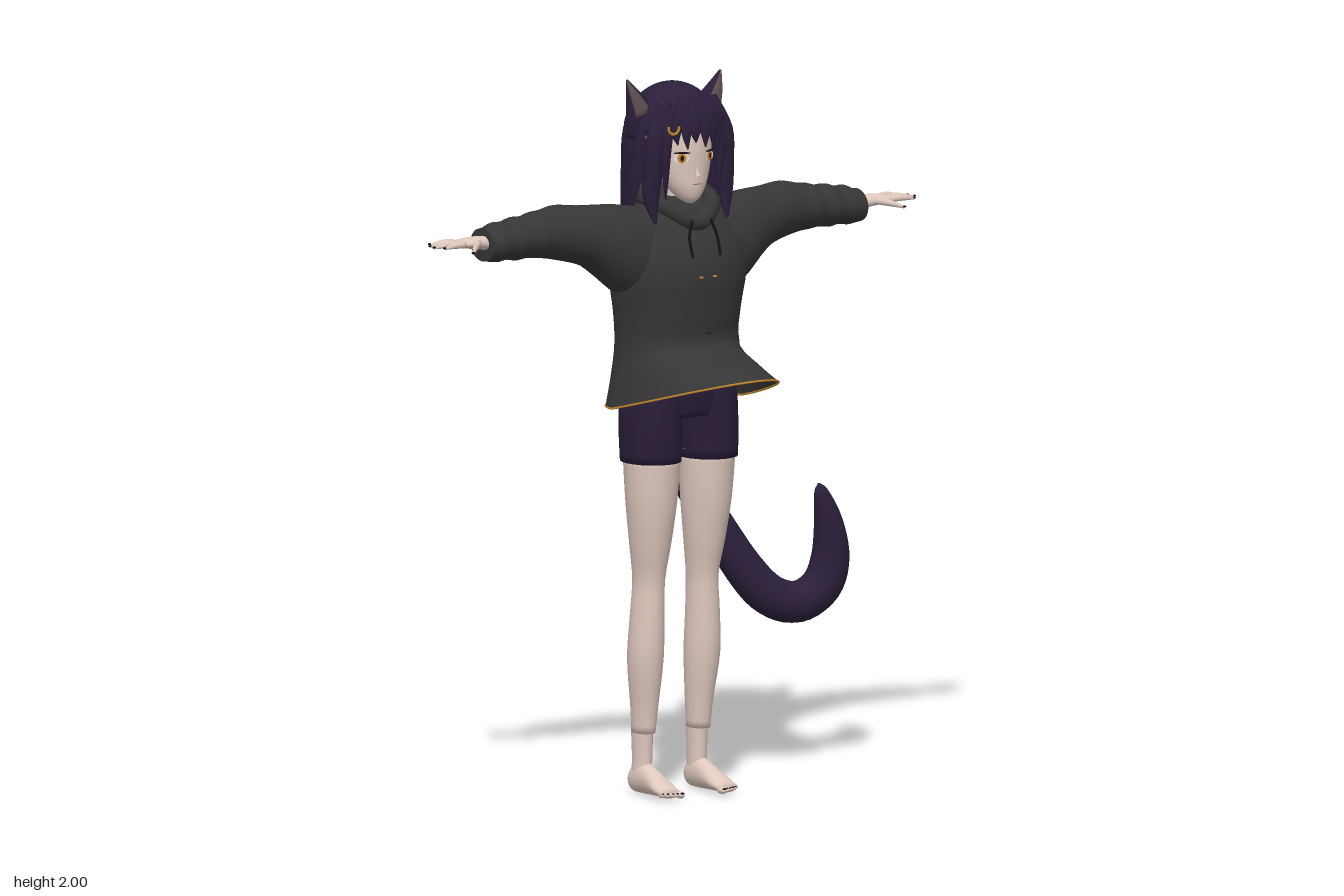
import * as THREE from 'three';

const V = (x, y, z) => new THREE.Vector3(x, y, z);
const X = V(1, 0, 0), Y = V(0, 1, 0), Z = V(0, 0, 1);
const mat = (name, color, side = THREE.FrontSide) => {
  const m = new THREE.MeshStandardMaterial({ color, side });
  m.name = name;
  return m;
};

// Smooth samples through rows of five numbers
function smooth(rows, sub) {
  const a = new THREE.CatmullRomCurve3(rows.map(r => V(r[0], r[1], r[2])), false, 'catmullrom');
  const b = new THREE.CatmullRomCurve3(rows.map(r => V(r[3], r[4], 0)), false, 'catmullrom');
  const n = (rows.length - 1) * sub;
  return Array.from({ length: n + 1 }, (_, i) => [...a.getPoint(i / n).toArray(), ...b.getPoint(i / n).toArray()]);
}

// Surface through cross-sections, with outward faces
function skin(rows, closed = true, capStart = true) {
  const n = rows[0].length, pos = [], idx = [];
  rows.forEach(r => r.forEach(p => pos.push(p.x, p.y, p.z)));
  for (let i = 0; i < rows.length - 1; i++)
    for (let j = 0; j < (closed ? n : n - 1); j++) {
      const k = (j + 1) % n, a = i * n + j, b = i * n + k, c = a + n, d = b + n;
      idx.push(a, b, d, a, d, c);
    }
  const cap = (r, turned) => {
    const row = rows[r], c = row.reduce((s, p) => s.add(p), V(0, 0, 0)).divideScalar(n), m = pos.length / 3;
    pos.push(c.x, c.y, c.z);
    for (let j = 0; j < n; j++) {
      const a = r * n + j, b = r * n + (j + 1) % n;
      idx.push(m, turned ? b : a, turned ? a : b);
    }
  };
  if (closed && capStart) cap(0, true);
  if (closed) cap(rows.length - 1, false);
  const P = i => V(pos[3 * i], pos[3 * i + 1], pos[3 * i + 2]);
  const mid = rows.flat().reduce((s, p) => s.add(p), V(0, 0, 0)).divideScalar(n * rows.length);
  let vol = 0;
  for (let i = 0; i < idx.length; i += 3)
    vol += P(idx[i]).sub(mid).dot(P(idx[i + 1]).sub(mid).cross(P(idx[i + 2]).sub(mid)));
  if (vol < 0) idx.reverse();
  const g = new THREE.BufferGeometry();
  g.setAttribute('position', new THREE.Float32BufferAttribute(pos, 3));
  g.setIndex(idx);
  g.computeVertexNormals();
  return g;
}

// Elliptical limb; each station is x, y, z, radius across, radius along ref
function sweep(stations, { dir = null, ref = Z, n = 20, sub = 4 } = {}) {
  const s = smooth(stations, sub);
  return skin(s.map((r, i) => {
    const a = s[Math.max(i - 1, 0)], b = s[Math.min(i + 1, s.length - 1)];
    const T = dir || V(b[0] - a[0], b[1] - a[1], b[2] - a[2]).normalize();
    const u = T.clone().cross(ref).normalize(), v = u.clone().cross(T);
    return Array.from({ length: n }, (_, j) => {
      const t = j / n * Math.PI * 2;
      return V(r[0], r[1], r[2]).addScaledVector(u, Math.cos(t) * Math.max(r[3], 0.001))
        .addScaledVector(v, Math.sin(t) * Math.max(r[4], 0.001));
    });
  }));
}

export function createModel() {
  const root = new THREE.Group();
  const skinM = mat('skin', 0xdfc8be), hairM = mat('hair', 0x2b1f3b, THREE.DoubleSide);
  const cloth = mat('hoodieGrey', 0x363636, THREE.DoubleSide), shortsM = mat('shortsPurple', 0x291d38);
  const gold = mat('gold', 0xc8892c), dark = mat('dark', 0x151217), white = mat('eyeWhite', 0xf1ebe8);
  const earM = mat('innerEar', 0x5c4d50), lip = mat('lip', 0xa9756d);
  const add = (name, geo, m) => {
    const mesh = new THREE.Mesh(geo, m);
    mesh.name = name;
    root.add(mesh);
    return mesh;
  };
  const flip = (s, rows) => rows.map(([x, ...r]) => [s * x, ...r]);

  // Hoodie body: y, half width, front lift, front z, back z
  const N = 48, zc = -0.05;
  const torso = smooth([
    [1.088, 0.212, 0.117, 0.375, -0.187], [1.17, 0.194, 0.066, 0.25, -0.185], [1.26, 0.183, 0, 0.108, -0.178],
    [1.35, 0.19, 0, 0.105, -0.17], [1.45, 0.207, 0, 0.115, -0.162], [1.53, 0.2, 0, 0.1, -0.155],
    [1.6, 0.17, 0, 0.06, -0.145], [1.645, 0.12, 0, 0.035, -0.13], [1.67, 0.06, 0, 0.0, -0.1]], 4)
    .map(([y, rx, lift, zf, zb]) => Array.from({ length: N }, (_, j) => {
      const t = j / N * Math.PI * 2, c = Math.cos(t), f = Math.max(c, 0);
      const z = c > 0 ? zc + (zf - zc) * Math.pow(c, lift > 0.01 ? 1.2 : 1) : zc + (zc - zb) * c;
      return V(rx * Math.sin(t), y + lift * Math.pow(f, 1.3), z);
    }));
  add('hoodieBody', skin(torso, true, false), cloth);
  add('hemTrim', new THREE.TubeGeometry(new THREE.CatmullRomCurve3(torso[0], true), 96, 0.003, 5, true), gold);

  // Hood collar and the hood lying behind it
  const half = [[0.07, 1.645, 0.025], [0.092, 1.665, -0.05], [0.07, 1.665, -0.115]];
  const ring = [[0, 1.605, 0.062], ...half, [0, 1.66, -0.135], ...flip(-1, half).reverse()];
  add('hoodCollar', new THREE.TubeGeometry(new THREE.CatmullRomCurve3(ring.map(p => V(...p)), true), 48, 0.025, 10, true), cloth);
  add('hoodBack', new THREE.SphereGeometry(1, 24, 14).scale(0.115, 0.085, 0.05).translate(0, 1.615, -0.14), cloth);
  add('pocketSeam', new THREE.BoxGeometry(0.012, 0.003, 0.006).translate(0.01, 1.3, 0.104), dark);

  // Shorts
  add('hips', sweep([[0, 1.06, -0.033, 0.15, 0.085], [0, 1.13, -0.035, 0.17, 0.096], [0, 1.25, -0.035, 0.16, 0.09]], { dir: Y, n: 28 }), shortsM);

  for (const s of [1, -1]) {
    const side = s > 0 ? 'left' : 'right';
    // Sleeve with soft folds
    add(side + 'Sleeve', sweep(flip(s, [
      [0.1, 1.49, -0.045, 0.15, 0.1], [0.2, 1.535, -0.05, 0.123, 0.098], [0.25, 1.558, -0.06, 0.102, 0.093],
      [0.3, 1.577, -0.07, 0.084, 0.088], [0.37, 1.59, -0.08, 0.077, 0.081], [0.42, 1.59, -0.082, 0.067, 0.073],
      [0.45, 1.59, -0.082, 0.064, 0.075], [0.48, 1.588, -0.08, 0.058, 0.066], [0.515, 1.586, -0.08, 0.06, 0.068],
      [0.545, 1.584, -0.08, 0.053, 0.062], [0.575, 1.582, -0.08, 0.055, 0.064], [0.6, 1.578, -0.08, 0.048, 0.06],
      [0.617, 1.578, -0.08, 0.046, 0.058]]), { dir: X, n: 24 }), cloth);
    add(side + 'Drawstring', new THREE.TubeGeometry(new THREE.CatmullRomCurve3(
      [V(s * 0.03, 1.615, 0.08), V(s * 0.045, 1.57, 0.09), V(s * 0.045, 1.515, 0.108)]), 10, 0.004, 6), dark);
    add(side + 'Eyelet', new THREE.BoxGeometry(0.01, 0.005, 0.006).translate(s * 0.022, 1.46, 0.114), gold);

    // Hand and fingers
    add(side + 'Palm', sweep(flip(s, [[0.59, 1.58, -0.075, 0.022, 0.026], [0.64, 1.588, -0.07, 0.018, 0.03],
      [0.68, 1.59, -0.068, 0.014, 0.036], [0.712, 1.59, -0.068, 0.009, 0.034]]), { dir: X }), skinM);
    [[0.7, -0.098, 0.768, -0.112], [0.705, -0.078, 0.785, -0.084], [0.705, -0.058, 0.79, -0.056], [0.7, -0.04, 0.772, -0.03],
      [0.65, -0.048, 0.71, 0.018]].forEach(([x0, z0, x1, z1], i) => {
      const drop = i === 4 ? 0.012 : 0;
      add(side + (i === 4 ? 'Thumb' : 'Finger'), sweep(flip(s, [[x0, 1.591, z0, 0.009, 0.01],
        [(x0 + x1) / 2, 1.592 - drop / 2, (z0 + z1) / 2, 0.008, 0.009], [x1, 1.588 - drop, z1, 0.003, 0.004]]), { ref: i === 4 ? Y : Z, n: 8 }), skinM);
      add(side + 'Nail', new THREE.SphereGeometry(0.005, 8, 6).scale(1.2, 0.6, 0.9).translate(s * x1, 1.59 - drop, z1), dark);
    });

    // Shorts leg, bare leg, ankle
    add(side + 'ShortsLeg', sweep(flip(s, [[0.093, 0.935, -0.032, 0.082, 0.092], [0.093, 1.03, -0.035, 0.083, 0.097],
      [0.088, 1.12, -0.037, 0.084, 0.098], [0.08, 1.18, -0.037, 0.075, 0.09]]), { dir: Y }), shortsM);
    add(side + 'Leg', sweep(flip(s, [[0.09, 0.17, -0.073, 0.03, 0.04], [0.09, 0.25, -0.069, 0.036, 0.046],
      [0.093, 0.38, -0.059, 0.048, 0.056], [0.091, 0.5, -0.053, 0.045, 0.054], [0.088, 0.6, -0.05, 0.042, 0.053],
      [0.089, 0.7, -0.041, 0.055, 0.064], [0.09, 0.82, -0.034, 0.069, 0.077], [0.09, 0.96, -0.031, 0.079, 0.085]]), { dir: Y }), skinM);
    add(side + 'Ankle', sweep(flip(s, [[0.092, 0.04, -0.08, 0.026, 0.036], [0.09, 0.1, -0.08, 0.025, 0.035],
      [0.09, 0.205, -0.08, 0.028, 0.04]]), { dir: Y }), skinM);

    // Foot and toes
    add(side + 'Foot', sweep(flip(s, [[0.092, 0.034, -0.125, 0.012, 0.016], [0.092, 0.038, -0.11, 0.025, 0.036],
      [0.091, 0.045, -0.07, 0.028, 0.045], [0.091, 0.038, -0.02, 0.03, 0.036], [0.093, 0.026, 0.03, 0.034, 0.022],
      [0.094, 0.018, 0.07, 0.033, 0.013]]), { dir: Z, ref: Y }), skinM);
    for (let i = 0; i < 5; i++) {
      const x = s * (0.069 + i * 0.0125), z = 0.078 - i * i * 0.0012, r = i ? 0.007 : 0.01;
      add(side + 'Toe', new THREE.SphereGeometry(r, 10, 8).scale(1, 1, 2).translate(x, 0.014, z), skinM);
      add(side + 'ToeNail', new THREE.SphereGeometry(r * 0.6, 8, 6).scale(1, 0.5, 1).translate(x, 0.019, z + r * 1.3), dark);
    }

    // Ear with inner face
    const ear = [[0.095, 1.85, -0.065, 0.052, 0.034], [0.112, 1.905, -0.06, 0.042, 0.031],
      [0.132, 1.95, -0.058, 0.025, 0.02], [0.153, 2.0, -0.06, 0.002, 0.002]];
    add(side + 'Ear', sweep(flip(s, ear), { n: 16 }), hairM);
    add(side + 'InnerEar', sweep(flip(s, ear.slice(1).map(([x, y, z, a, b]) => [x + 0.003, y, z + b * 0.8, a * 0.62, b * 0.3])), { n: 12 }), earM);

    // Long locks framing the face
    add(side + 'SideLock', sweep(flip(s, [[0.075, 1.94, 0.01, 0.02, 0.02], [0.108, 1.85, 0.022, 0.03, 0.024],
      [0.116, 1.76, 0.018, 0.028, 0.024], [0.121, 1.68, 0.012, 0.024, 0.022], [0.118, 1.605, 0.03, 0.004, 0.004]]), { n: 12 }), hairM);
    add(side + 'ThinLock', sweep(flip(s, [[0.07, 1.92, 0.04, 0.015, 0.01], [0.088, 1.83, 0.044, 0.015, 0.01],
      [0.088, 1.74, 0.036, 0.01, 0.008], [0.084, 1.67, 0.03, 0.002, 0.002]]), { n: 10 }), hairM);

    // Eyes: thin plates lying on the face
    const plate = (name, w, h, y, off, m) => {
      const p = add(side + name, new THREE.CircleGeometry(1, 20).scale(w, h, 1), m), x = 0.046, k = x / 0.086;
      p.position.set(s * x, y, -0.026 + 0.087 * Math.sqrt(1 - k * k) + off);
      p.rotation.y = s * Math.asin(k) * 0.9;
    };
    plate('EyeWhite', 0.022, 0.014, 1.786, 0.004, white);
    plate('Iris', 0.013, 0.014, 1.786, 0.0055, gold);
    plate('Pupil', 0.005, 0.008, 1.786, 0.007, dark);
    plate('Lash', 0.024, 0.003, 1.801, 0.007, dark);
  }

  // Neck, head, nose and mouth
  add('neck', new THREE.CylinderGeometry(0.034, 0.042, 0.15, 20).translate(0, 1.645, -0.035), skinM);
  add('head', sweep([[0, 1.655, 0.022, 0.01, 0.012], [0, 1.67, 0.014, 0.032, 0.036], [0, 1.7, 0, 0.055, 0.058],
    [0, 1.74, -0.015, 0.074, 0.074], [0, 1.8, -0.028, 0.088, 0.088], [0, 1.86, -0.04, 0.092, 0.095],
    [0, 1.92, -0.05, 0.08, 0.085], [0, 1.955, -0.05, 0.03, 0.03]], { dir: Y, n: 28 }), skinM);
  add('nose', new THREE.ConeGeometry(0.008, 0.03, 8).rotateX(-0.25).translate(0, 1.748, 0.061), skinM);
  add('mouth', new THREE.BoxGeometry(0.026, 0.003, 0.004).translate(0, 1.711, 0.06), lip);

  // Hair dome and the long back curtain with a ragged end
  add('hairDome', new THREE.SphereGeometry(1, 40, 16, 0, Math.PI * 2, 0, Math.PI * 0.43)
    .scale(0.136, 0.15, 0.138).translate(0, 1.832, -0.066), hairM);
  const curtain = smooth([[1.9, 0.123, 0.124, 1.95, -0.066], [1.83, 0.137, 0.14, 1.98, -0.066], [1.74, 0.138, 0.141, 1.95, -0.068],
    [1.65, 0.136, 0.14, 1.75, -0.073], [1.57, 0.13, 0.138, 1.45, -0.075]], 4);
  add('backHair', skin(curtain.map(([y, rx, rz, a, cz], i) => Array.from({ length: 65 }, (_, j) => {
    const t = (j / 32 - 1) * a, q = i / (curtain.length - 1);
    const w = 1 + 0.025 * q * Math.cos(j * 1.57);
    const rag = i === curtain.length - 1 ? [0, -0.018, -0.03, -0.012][j % 4] : 0;
    return V(rx * w * Math.sin(t), y + rag, cz - rz * w * Math.cos(t));
  })), false), hairM);

  // Bangs: root x, tip x, tip y
  [[-0.05, -0.085, 1.8], [-0.035, -0.062, 1.825], [-0.022, -0.036, 1.812], [-0.008, -0.012, 1.83], [0.008, 0.02, 1.815],
    [0.022, 0.05, 1.815], [0.036, 0.074, 1.802], [0.05, 0.09, 1.785]].forEach(([x0, x1, y]) => {
    const at = x => 0.07 - 4.2 * x * x, xm = x0 * 0.8 + x1 * 0.6;
    add('bang', sweep([[x0 * 0.7, 1.955, at(x0) - 0.035, 0.012, 0.008], [x0 * 1.3, 1.91, at(x0 * 1.3) - 0.009, 0.018, 0.008],
      [xm, 1.862, at(xm) + 0.003, 0.017, 0.007], [x1, y, at(x1) + 0.003, 0.002, 0.002]], { n: 10 }), hairM);
  });
  add('hairClip', new THREE.TorusGeometry(0.017, 0.004, 6, 16, Math.PI * 1.2).rotateZ(Math.PI * 0.9).translate(-0.09, 1.878, 0.08), gold);

  // Tail
  add('tail', sweep([[0, 1.06, -0.14, 0.03], [0.06, 1.025, -0.24, 0.036], [0.14, 0.95, -0.305, 0.042], [0.2, 0.85, -0.33, 0.046],
    [0.29, 0.7, -0.31, 0.05], [0.37, 0.56, -0.275, 0.055], [0.44, 0.48, -0.25, 0.058], [0.52, 0.457, -0.23, 0.058],
    [0.585, 0.5, -0.21, 0.057], [0.608, 0.58, -0.2, 0.053], [0.595, 0.68, -0.19, 0.04], [0.568, 0.765, -0.185, 0.02],
    [0.56, 0.79, -0.185, 0.003]].map(r => [...r, r[3]]), { n: 20, sub: 5 }), hairM);

  return root;
}
